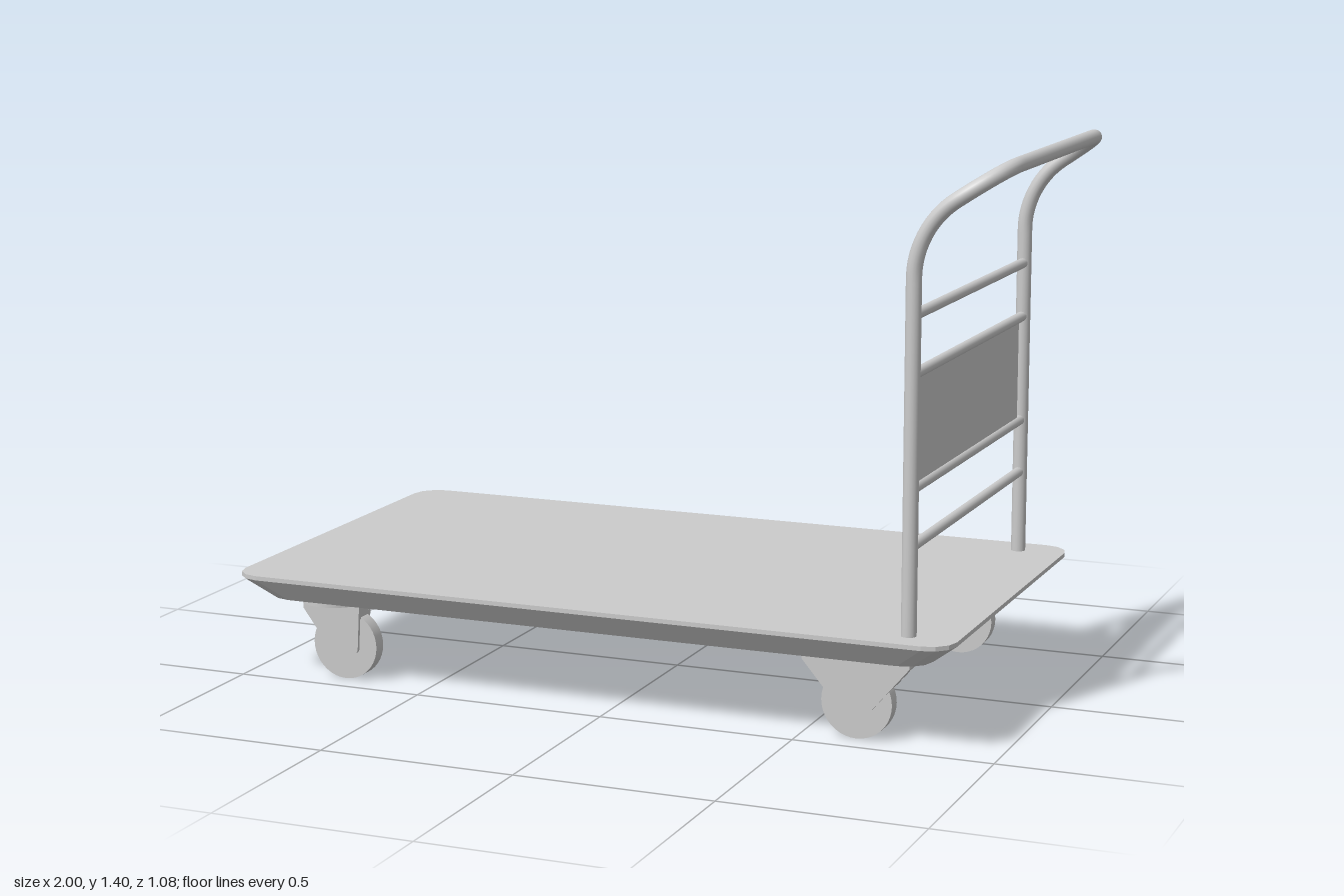
import * as THREE from 'three';

const V = (x, y, z) => new THREE.Vector3(x, y, z);
const material = new THREE.MeshStandardMaterial({ color: 0xcccccc });

function add(parent, name, geometry, x = 0, y = 0, z = 0) {
  const mesh = new THREE.Mesh(geometry, material);
  mesh.name = name;
  mesh.position.set(x, y, z);
  parent.add(mesh);
  return mesh;
}

// Rod running along z
const rod = (radius, length, sides) =>
  new THREE.CylinderGeometry(radius, radius, length, sides).rotateX(Math.PI / 2);

// Flat outline in x/y, extruded along z and centred on z = 0
function slab(points, width) {
  const shape = new THREE.Shape(points.map(([x, y]) => new THREE.Vector2(x, y)));
  return new THREE.ExtrudeGeometry(shape, { depth: width, bevelEnabled: false })
    .translate(0, 0, -width / 2);
}

// Platform: rounded rectangle rings at [y, inset x, inset z], joined and capped
function deckGeometry() {
  const halfX = 0.949, halfZ = 0.542, radius = 0.068, steps = 3;
  const levels = [[0.21, 0.07, 0.04], [0.264, 0, 0], [0.275, 0, 0]];
  const rings = levels.map(([y, ix, iz]) => {
    const ring = [];
    for (let corner = 0; corner < 4; corner++) {
      const sx = corner === 0 || corner === 3 ? 1 : -1;
      const sz = corner < 2 ? 1 : -1;
      for (let k = 0; k <= steps; k++) {
        const a = (corner + k / steps) * Math.PI / 2;
        ring.push(V(sx * (halfX - ix - radius) + radius * Math.cos(a), y,
          sz * (halfZ - iz - radius) + radius * Math.sin(a)));
      }
    }
    return ring;
  });
  const tris = [];
  const n = rings[0].length;
  const low = rings[0], high = rings[rings.length - 1];
  for (let i = 0; i < n; i++) {
    const j = (i + 1) % n;
    for (let l = 0; l + 1 < rings.length; l++) {
      const b = rings[l], t = rings[l + 1];
      tris.push(b[i], t[i], b[j], t[i], t[j], b[j]);
    }
    tris.push(V(0, high[0].y, 0), high[j], high[i], V(0, low[0].y, 0), low[i], low[j]);
  }
  const geometry = new THREE.BufferGeometry().setFromPoints(tris);
  geometry.computeVertexNormals();
  return geometry;
}

// Bent handle tube: upright, lean outward, rounded corner, then mirrored in z
function handleGeometry() {
  const x = 0.776, z = 0.463;
  const base = V(x, 0.25, z), bendStart = V(x, 1.125, z), bendMid = V(x, 1.24, z);
  const bendEnd = V(0.87, 1.304, z), corner = V(0.981, 1.379, z), top = V(0.981, 1.379, 0.33);
  const arc = (a, m, b) => new THREE.CubicBezierCurve3(
    a, a.clone().lerp(m, 0.6), b.clone().lerp(m, 0.6), b);
  const m = p => V(p.x, p.y, -p.z);
  const pieces = [
    [new THREE.LineCurve3(base, bendStart), 2],
    [arc(bendStart, bendMid, bendEnd), 12],
    [arc(bendEnd, corner, top), 14],
    [new THREE.LineCurve3(top, m(top)), 2],
    [arc(m(top), m(corner), m(bendEnd)), 14],
    [arc(m(bendEnd), m(bendMid), m(bendStart)), 12],
    [new THREE.LineCurve3(m(bendStart), m(base)), 2],
  ];
  const path = new THREE.CurvePath();
  pieces.forEach(([curve, count]) => {
    const pts = curve.getPoints(count);
    for (let i = 0; i < count; i++) path.add(new THREE.LineCurve3(pts[i], pts[i + 1]));
  });
  return new THREE.TubeGeometry(path, 200, 0.0187, 16, false);
}

// Caster, origin at the wheel axle on the ground; cheeks plus webs joining them
function caster(name, cheek, webs, disc) {
  const group = new THREE.Group();
  group.name = name;
  add(group, 'wheel', rod(0.089, 0.037, 40), 0, 0.089, 0);
  add(group, 'axle', rod(0.012, 0.06, 12), 0, 0.089, 0);
  for (const side of [1, -1]) add(group, 'cheek', slab(cheek, 0.009), 0, 0, side * 0.027);
  webs.forEach(web => add(group, 'web', slab(web, 0.062)));
  if (disc) {
    add(group, 'swivelDisc', new THREE.CylinderGeometry(0.088, 0.088, 0.012, 32), -0.032, 0.206, 0);
  }
  return group;
}

export function createModel() {
  const model = new THREE.Group();
  model.name = 'platformTrolley';

  add(model, 'deck', deckGeometry(), -0.051, 0, 0);

  // Push handle with rails and a panel between the middle two
  const handle = new THREE.Group();
  handle.name = 'handle';
  model.add(handle);
  add(handle, 'handleTube', handleGeometry());
  for (const y of [0.487, 0.625, 0.897, 1.036]) {
    add(handle, 'rail', rod(0.013, 0.9, 14), 0.776, y, 0);
  }
  add(handle, 'panel', new THREE.BoxGeometry(0.006, 0.272, 0.828), 0.776, 0.761, 0);

  // Fixed casters under the handle, swivel casters at the far end
  const fixedCheek = [[-0.135, 0.21], [-0.135, 0.187], [-0.042, 0.077], [-0.035, 0.073],
    [0.035, 0.073], [0.042, 0.077], [0.135, 0.187], [0.135, 0.21]];
  const fixedWebs = [
    [[-0.135, 0.21], [-0.135, 0.187], [-0.082, 0.125], [-0.074, 0.125], [-0.125, 0.187], [-0.125, 0.2],
      [0.125, 0.2], [0.125, 0.187], [0.074, 0.125], [0.082, 0.125], [0.135, 0.187], [0.135, 0.21]],
  ];
  const swivelCheek = [[-0.112, 0.2], [-0.112, 0.178], [-0.037, 0.077], [-0.03, 0.073],
    [0.038, 0.073], [0.042, 0.08], [0.048, 0.19], [0.048, 0.2]];
  const swivelWebs = [
    [[-0.112, 0.2], [-0.112, 0.178], [-0.08, 0.135], [-0.072, 0.135], [-0.103, 0.178], [-0.103, 0.192],
      [0.04, 0.192], [0.038, 0.16], [0.046, 0.16], [0.048, 0.2]],
  ];
  for (const side of [1, -1]) {
    const fixed = caster('fixedCaster', fixedCheek, fixedWebs, false);
    fixed.position.set(0.638, 0, side * 0.414);
    const swivel = caster('swivelCaster', swivelCheek, swivelWebs, true);
    swivel.position.set(-0.738, 0, side * 0.414);
    model.add(fixed, swivel);
  }
  return model;
}
